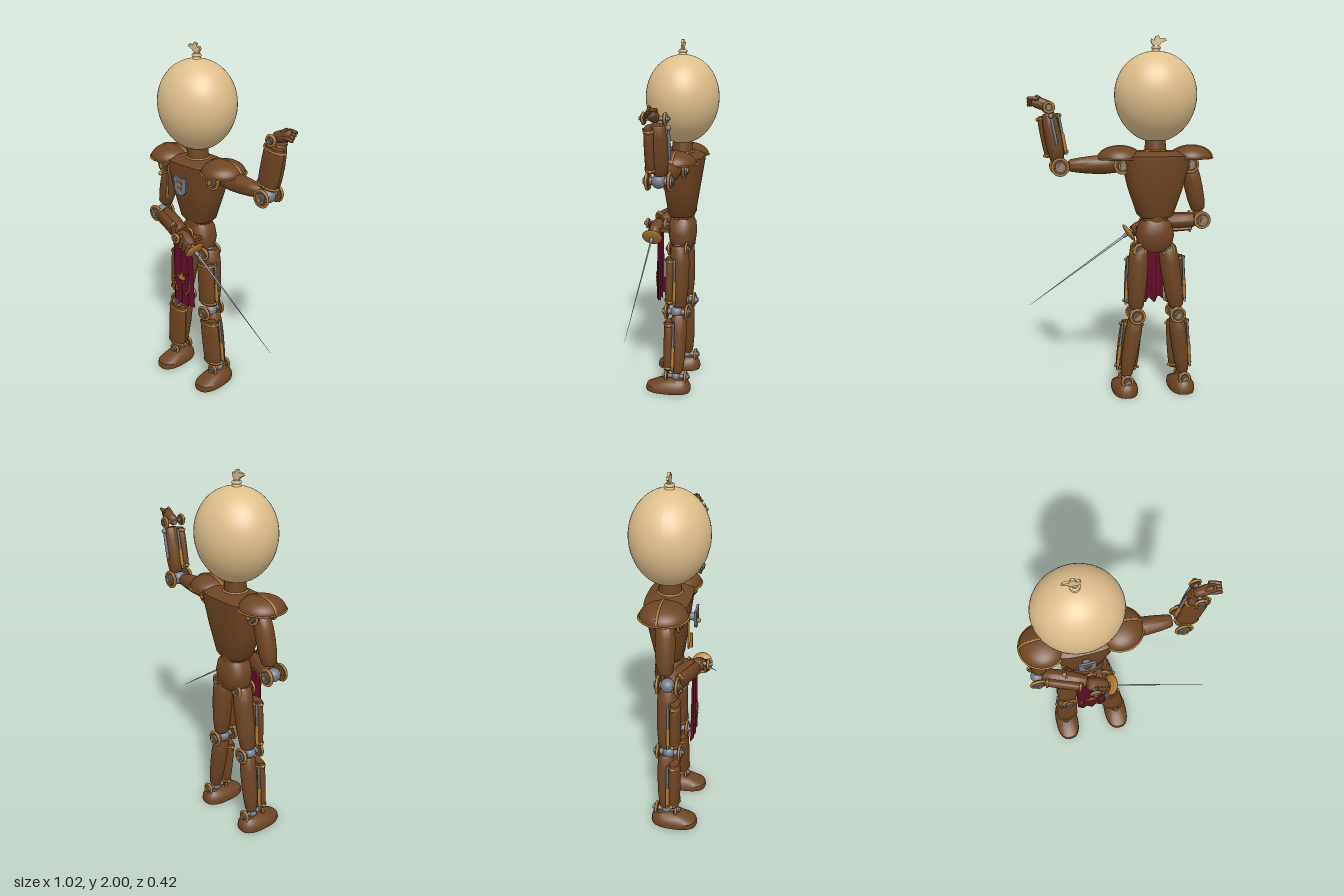
import * as THREE from 'three';
import { toCreasedNormals } from 'three/addons/utils/BufferGeometryUtils.js';

const paint = (name, color, extra = {}) => Object.assign(new THREE.MeshStandardMaterial({ color, ...extra }), { name });
const brown = paint('leather brown', 0x6e4523);
const brass = paint('brass', 0xb07a30);
const steel = paint('steel', 0x747b86);
const tan = paint('burlap tan', 0xdfc08c);
const red = paint('wine cloth', 0x5f0a26, { side: THREE.DoubleSide });
const silver = paint('blade silver', 0xb4b8bd);

const V = (x, y, z) => new THREE.Vector3(x, y, z);
const UP = V(0, 1, 0);

export function createModel() {
  const model = new THREE.Group();
  model.name = 'clockworkSwordsman';

  function add(name, geo, mat, pos = [0, 0, 0], parent = model) {
    const m = new THREE.Mesh(geo, mat);
    m.name = name;
    m.position.set(...pos);
    parent.add(m);
    return m;
  }
  const ball = (name, r, mat, pos, parent) => add(name, new THREE.SphereGeometry(r, 20, 14), mat, pos, parent);

  // Group whose local y runs from a to b; returns [group, length]
  function along(name, a, b) {
    const g = new THREE.Group(), A = V(...a), d = V(...b).sub(A);
    g.name = name;
    g.position.copy(A);
    g.quaternion.setFromUnitVectors(UP, d.clone().normalize());
    model.add(g);
    return [g, d.length()];
  }

  // Bulging tapered lathe between two points
  function limb(name, a, b, r0, r1, flat = 1, mat = brown) {
    const [g, h] = along(name, a, b);
    const pts = [[0, 0], [0.7, 0], [0.86, 0.04], [1, 0.25], [1.04, 0.5], [1, 0.75], [0.86, 0.96], [0.7, 1], [0, 1]]
      .map(([k, t]) => new THREE.Vector2(k * (r0 + (r1 - r0) * t), t * h));
    const m = add(name + 'Body', toCreasedNormals(new THREE.LatheGeometry(pts, 28), 0.9), mat, [0, 0, 0], g);
    m.scale.z = flat;
    return g;
  }

  // Flattened armour barrel with brass bands, studs and a side piston
  function plate(name, a, b, r, side = 1) {
    const [g, h] = along(name, a, b);
    const pts = [[0, 0], [0.85, 0], [0.95, 0.06], [1, 0.3], [1, 0.7], [0.95, 0.94], [0.85, 1], [0, 1]]
      .map(([k, t]) => new THREE.Vector2(k * r, t * h));
    const shell = add('armourShell', toCreasedNormals(new THREE.LatheGeometry(pts, 28), 0.7), brown, [0, 0, 0.035], g);
    shell.scale.z = 0.5;
    for (const t of [0.06, 0.94]) {
      const band = add('brassBand', new THREE.TorusGeometry(r * 0.97, 0.006, 8, 32), brass, [0, t * h, 0.035], g);
      band.rotation.x = Math.PI / 2;
      band.scale.y = 0.5;
      for (const s of [-1, 1]) ball('stud', 0.009, brass, [s * r * 0.98, t * h, 0.03], g);
      ball('frontStud', 0.007, brass, [0, t * h, 0.035 + r * 0.5], g);
    }
    add('pistonRod', new THREE.CylinderGeometry(0.007, 0.007, h, 10), steel, [side * r * 0.85, h / 2, 0.005], g);
    add('pistonSleeve', new THREE.CylinderGeometry(0.01, 0.01, h * 0.4, 10), brass, [side * r * 0.85, h * 0.3, 0.005], g);
    return g;
  }

  // Ball joint with an axle along z and stacked washers on both ends
  function joint(name, [x, y, z], r, half) {
    const g = new THREE.Group();
    g.name = name;
    g.position.set(x, y, z);
    model.add(g);
    ball('jointBall', r * 0.8, steel, [0, 0, 0], g);
    const disc = (n, R, len, mat, dz) => {
      add(n, new THREE.CylinderGeometry(R, R, len, 24), mat, [0, 0, dz], g).rotation.x = Math.PI / 2;
    };
    disc('axle', r * 0.4, half * 2, steel, 0);
    for (const s of [-1, 1]) {
      disc('innerDisc', r * 0.92, 0.016, brown, s * half * 0.72);
      disc('washer', r * 0.6, 0.01, steel, s * half * 0.88);
      disc('cap', r * 0.32, 0.01, brass, s * half);
      add('ring', new THREE.TorusGeometry(r * 0.92, 0.007, 8, 28), brass, [0, 0, s * half * 0.76], g);
    }
  }

  // Stacked rounded sections: [y, halfWidth, halfDepth, zCentre]
  function loft(name, secs, power, mat, pos) {
    const n = 40, p = [], idx = [];
    const rnd = (v) => Math.sign(v) * Math.abs(v) ** power;
    secs.forEach(([y, w, d, zc], i) => {
      for (let j = 0; j < n; j++) {
        const t = (j / n) * Math.PI * 2;
        p.push(w * rnd(Math.cos(t)), y, zc + d * rnd(Math.sin(t)));
        if (i) {
          const a = (i - 1) * n + j, b = (i - 1) * n + (j + 1) % n;
          idx.push(a, a + n, b, b, a + n, b + n);
        }
      }
    });
    const geo = new THREE.BufferGeometry();
    geo.setAttribute('position', new THREE.Float32BufferAttribute(p, 3));
    geo.setIndex(idx);
    return add(name, toCreasedNormals(geo, 0.6), mat, pos);
  }

  const shape = (pts) => new THREE.Shape(pts.map(([x, y]) => new THREE.Vector2(x, y)));
  const slab = (s, depth) => new THREE.ExtrudeGeometry(s, { depth, bevelEnabled: false, curveSegments: 10 });
  const CX = -0.19;

  // Balloon-like sack head with tied knot
  const headGeo = new THREE.SphereGeometry(1, 48, 32);
  const hp = headGeo.attributes.position;
  for (let i = 0; i < hp.count; i++) {
    const k = 1 + 0.04 * hp.getY(i);
    hp.setXYZ(i, hp.getX(i) * k * 0.225, hp.getY(i) * 0.243, hp.getZ(i) * k * 0.203);
  }
  headGeo.computeVertexNormals();
  add('head', headGeo, tan, [CX, 1.676, -0.012]);
  add('knotNeck', new THREE.CylinderGeometry(0.014, 0.026, 0.035, 20), tan, [CX, 1.93, -0.012]);
  add('knotTie', new THREE.TorusGeometry(0.018, 0.008, 8, 24), tan, [CX, 1.935, -0.012]).rotation.x = Math.PI / 2;
  add('knotTuft', slab(shape([[-0.01, 0], [0.012, 0], [0.03, 0.028], [0.026, 0.042], [0.01, 0.034], [0.004, 0.055],
    [-0.014, 0.06], [-0.022, 0.044], [-0.05, 0.046], [-0.058, 0.034], [-0.03, 0.022]]), 0.012), tan, [CX, 1.94, -0.018]);

  // Neck, chest and pelvis
  add('neck', new THREE.CylinderGeometry(0.055, 0.062, 0.09, 28), brown, [CX, 1.405, -0.012]);
  add('neckRing', new THREE.TorusGeometry(0.06, 0.007, 8, 32), brass, [CX, 1.385, -0.012]).rotation.x = Math.PI / 2;
  loft('chest', [[1.02, 0, 0, -0.012], [1.02, 0.085, 0.065, -0.012], [1.035, 0.1, 0.074, -0.012], [1.19, 0.153, 0.095, -0.014],
    [1.34, 0.187, 0.116, -0.016], [1.36, 0.187, 0.116, -0.016], [1.385, 0.12, 0.075, -0.016], [1.385, 0, 0, -0.016]], 0.62, brown, [CX, 0, 0]);
  add('waist', new THREE.CylinderGeometry(0.07, 0.07, 0.06, 28), brown, [CX, 1.0, -0.012]);
  loft('pelvis', [[0.83, 0, 0, -0.015], [0.83, 0.06, 0.055, -0.015], [0.86, 0.095, 0.072, -0.015], [0.92, 0.108, 0.08, -0.015],
    [0.98, 0.092, 0.076, -0.015], [1.005, 0.075, 0.062, -0.015], [1.005, 0, 0, -0.015]], 0.85, brown, [CX, 0, 0]);

  // Crown plate, used on shield and tabard
  const crown = (name, w, h, pos) => add(name, slab(shape([[-w * 0.7, 0], [w * 0.7, 0], [w, h], [w * 0.45, h * 0.5],
    [0, h * 1.15], [-w * 0.45, h * 0.5], [-w, h]]), 0.004), brass, pos);

  // Chest shield and hanging ornament
  const shieldPts = [[-0.046, 0.05], [0, 0.042], [0.046, 0.05], [0.046, -0.025], [0.03, -0.045], [0, -0.058], [-0.03, -0.045], [-0.046, -0.025]];
  add('shield', slab(shape(shieldPts), 0.012), steel, [CX, 1.252, 0.118]);
  add('shieldStud', new THREE.CylinderGeometry(0.02, 0.02, 0.06, 16), steel, [CX, 1.252, 0.095]).rotation.x = Math.PI / 2;
  crown('shieldCrown', 0.022, 0.024, [CX, 1.255, 0.13]);
  add('shieldBar', new THREE.BoxGeometry(0.026, 0.012, 0.005), brass, [CX, 1.236, 0.132]);
  add('chestRod', new THREE.CylinderGeometry(0.005, 0.005, 0.2, 10), brass, [-0.315, 1.235, 0.105]);
  add('ornament', new THREE.BoxGeometry(0.012, 0.08, 0.014), brass, [-0.308, 1.18, 0.118]);
  ball('ornamentKnob', 0.012, brass, [-0.315, 1.3, 0.155]);

  // Domed pauldrons with brass rim and ribs
  for (const [side, x] of [['right', -0.39], ['left', 0.01]]) {
    const g = new THREE.Group();
    g.name = side + 'Pauldron';
    g.position.set(x, 1.345, -0.005);
    g.scale.set(0.12, 0.07, 0.122);
    model.add(g);
    add('dome', new THREE.SphereGeometry(1, 32, 12, 0, Math.PI * 2, 0, Math.PI / 2), brown, [0, 0, 0], g);
    add('domeFloor', new THREE.CircleGeometry(1, 32), brown, [0, 0, 0], g).rotation.x = Math.PI / 2;
    add('rim', new THREE.TorusGeometry(1, 0.06, 8, 40), brass, [0, 0, 0], g).rotation.x = Math.PI / 2;
    add('rib', new THREE.TorusGeometry(1, 0.05, 8, 30, Math.PI), brass, [0, 0, -0.1], g);
    joint(side + 'Shoulder', [x + (x < 0 ? 0.012 : -0.01), 1.31, 0.005], 0.045, 0.085);
  }

  // Raised left arm
  limb('leftUpperArm', [0.02, 1.315, -0.005], [0.285, 1.31, 0], 0.056, 0.038);
  joint('leftElbow', [0.335, 1.305, 0.005], 0.047, 0.075);
  limb('leftForearm', [0.345, 1.34, -0.005], [0.39, 1.59, -0.005], 0.045, 0.042);
  plate('leftForearmPlate', [0.348, 1.36, 0], [0.39, 1.58, 0], 0.063, -1);
  limb('forearmRod', [0.35, 1.42, -0.055], [0.38, 1.57, -0.055], 0.008, 0.008, 1, steel);
  ball('rodKnob', 0.014, steel, [0.382, 1.575, -0.055]);
  joint('leftWrist', [0.39, 1.62, 0.012], 0.028, 0.072);
  limb('leftPalm', [0.37, 1.62, 0.01], [0.475, 1.655, 0.015], 0.03, 0.03, 0.85);
  for (let i = 0; i < 4; i++) {
    limb('leftFinger', [0.44, 1.665 - i * 0.008, -0.01 + i * 0.014], [0.5, 1.668 - i * 0.012, 0.008 + i * 0.01], 0.011, 0.009);
  }
  limb('leftThumb', [0.41, 1.65, 0.02], [0.455, 1.682, 0.025], 0.012, 0.009);

  // Lowered right arm with fist
  limb('rightUpperArm', [-0.385, 1.3, 0], [-0.445, 1.05, 0.01], 0.052, 0.046);
  joint('rightElbow', [-0.46, 0.995, 0.025], 0.046, 0.065);
  limb('rightForearm', [-0.43, 0.99, 0.025], [-0.2, 0.97, 0.11], 0.045, 0.04);
  plate('rightForearmPlate', [-0.41, 0.99, 0.03], [-0.215, 0.974, 0.1], 0.056);
  joint('rightWrist', [-0.17, 0.965, 0.135], 0.026, 0.07);
  limb('rightPalm', [-0.2, 0.965, 0.125], [-0.095, 0.92, 0.14], 0.038, 0.036);
  for (let i = 0; i < 4; i++) {
    const x = -0.165 + i * 0.021, y = 0.95 - i * 0.013;
    limb('rightFinger', [x + 0.012, y + 0.03, 0.155], [x - 0.008, y - 0.03, 0.175], 0.013, 0.011);
  }

  // Sword
  const hilt = [-0.15, 0.963, 0.14], guardAt = [-0.072, 0.908, 0.14], tip = [0.5, 0.505, 0.148];
  limb('grip', hilt, guardAt, 0.014, 0.014, 1, brass);
  const [sword, len] = along('sword', guardAt, tip);
  add('guard', new THREE.SphereGeometry(0.058, 28, 14), brass, [0, 0, 0], sword).scale.y = 0.25;
  add('blade', new THREE.CylinderGeometry(0.001, 0.008, len, 8), silver, [0, len / 2, 0], sword).scale.z = 0.6;
  add('bladeCollar', new THREE.CylinderGeometry(0.009, 0.013, 0.035, 14), steel, [0, 0.025, 0], sword);

  // Pleated tabard with emblem
  const cloth = new THREE.PlaneGeometry(0.165, 0.44, 40, 16);
  const cp = cloth.attributes.position;
  for (let i = 0; i < cp.count; i++) {
    const u = cp.getX(i) / 0.0825, t = 0.5 - cp.getY(i) / 0.44;
    const fold = Math.cos(u * Math.PI * 3);
    cp.setX(i, cp.getX(i) * (0.92 + 0.1 * t));
    cp.setY(i, cp.getY(i) + t * (0.012 * fold + 0.02 * u * u));
    cp.setZ(i, fold * (0.003 + 0.006 * t));
  }
  cloth.computeVertexNormals();
  add('tabard', cloth, red, [CX, 0.728, 0.12]);
  add('tabardBelt', new THREE.BoxGeometry(0.165, 0.02, 0.075), brown, [CX, 0.94, 0.085]);
  crown('tabardCrown', 0.035, 0.045, [CX, 0.675, 0.129]);
  for (const s of [-1, 1]) {
    for (let i = 0; i < 6; i++) {
      const a = -1.1 + i * 0.25;
      const leaf = add('laurelLeaf', new THREE.SphereGeometry(0.012, 10, 6), brass,
        [CX + s * 0.062 * Math.cos(a), 0.665 + 0.085 * Math.sin(a), 0.13]);
      leaf.scale.set(0.5, 1, 0.25);
      leaf.rotation.z = s * (i % 2 ? 0.6 : -0.5);
    }
  }
  add('emblemBar', new THREE.BoxGeometry(0.04, 0.006, 0.004), brass, [CX, 0.662, 0.131]);

  // Legs: [side, hipX, kneeX, ankleX, sign]
  for (const [side, hx, kx, ax, s] of [['right', -0.26, -0.317, -0.36, -1], ['left', -0.1, -0.085, -0.028, 1]]) {
    joint(side + 'Hip', [hx, 0.84, -0.005], 0.036, 0.065);
    limb(side + 'Thigh', [kx, 0.5, -0.015], [hx, 0.86, -0.015], 0.048, 0.058);
    plate(side + 'ThighPlate', [kx + s * 0.004, 0.52, 0], [kx + s * -0.008, 0.79, 0], 0.06, s);
    joint(side + 'Knee', [kx, 0.465, 0], 0.043, 0.08);
    limb(side + 'Shin', [ax, 0.11, -0.015], [kx, 0.45, -0.015], 0.038, 0.05);
    plate(side + 'ShinPlate', [ax - s * 0.008, 0.13, 0], [kx + s * 0.016, 0.415, 0], 0.066, s);
    joint(side + 'Ankle', [ax, 0.09, -0.008], 0.032, 0.075);
    loft(side + 'Foot', [[0, 0, 0, 0.038], [0, 0.07, 0.128, 0.038], [0.012, 0.073, 0.132, 0.038], [0.035, 0.071, 0.128, 0.036],
      [0.06, 0.056, 0.095, 0.015], [0.076, 0.036, 0.06, -0.005], [0.08, 0, 0, -0.005]], 0.8, brown, [ax, 0, 0]);
  }
  return model;
}
